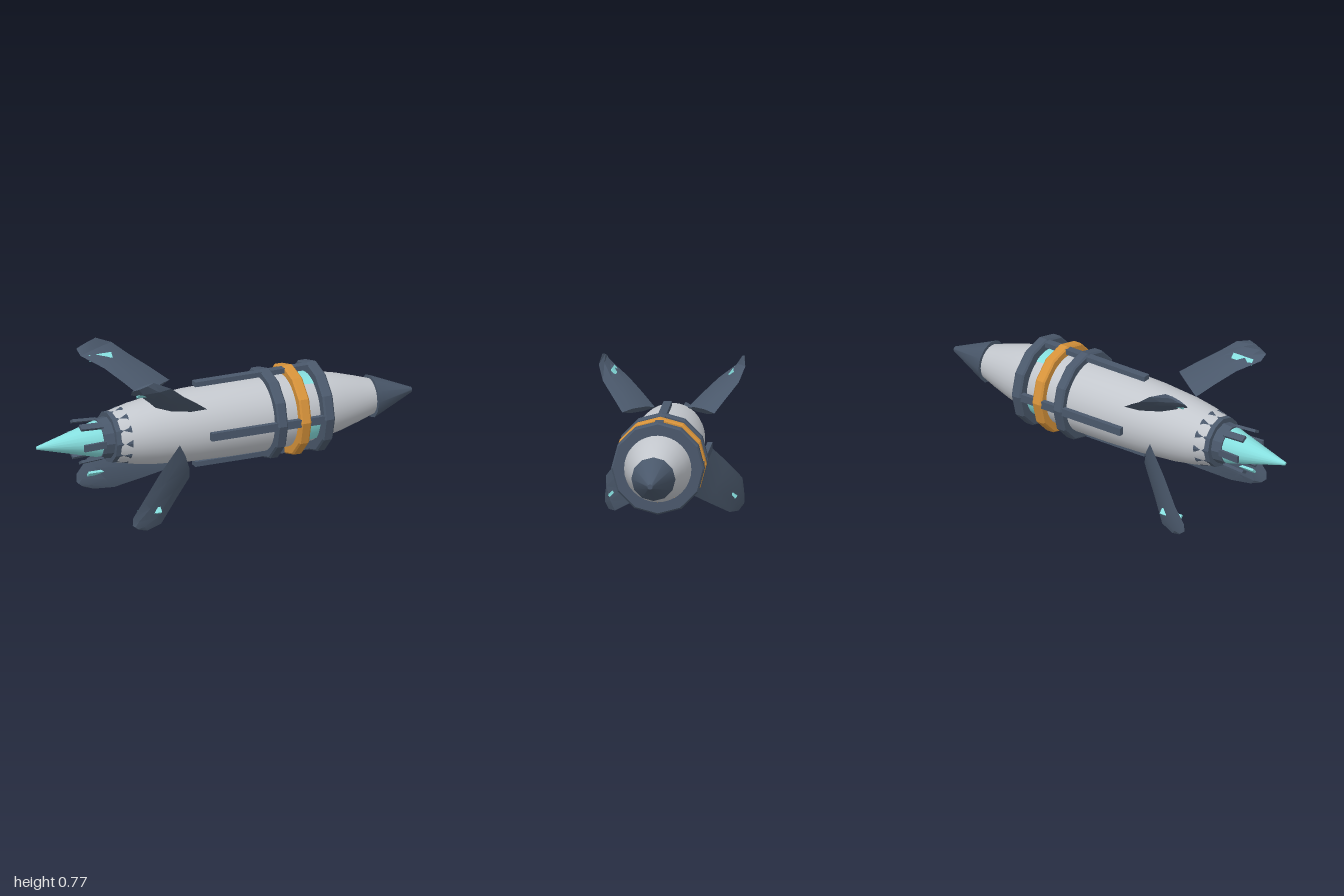
import * as THREE from 'three';
import { toCreasedNormals } from 'three/addons/utils/BufferGeometryUtils.js';

const AXIS = 0.39; // height of the hull's long axis
const mat = (name, color, side = THREE.FrontSide) => {
  const m = new THREE.MeshStandardMaterial({ color, side });
  m.name = name;
  return m;
};

export function createModel() {
  const model = new THREE.Group();
  const silver = mat('silver hull', 0xc3c7cd);
  const slate = mat('slate trim', 0x4a586b);
  const orange = mat('orange band', 0xd6923a);
  const cyan = mat('cyan glow', 0x86dfdf, THREE.DoubleSide);

  const add = (name, geo, material) => {
    const mesh = new THREE.Mesh(geo, material);
    mesh.name = name;
    model.add(mesh);
    return mesh;
  };
  // Lathe about the long axis from [x, radius] pairs, listed tail to nose
  const turned = (profile, sides, start = 0, sweep = Math.PI * 2) =>
    new THREE.LatheGeometry(profile.map(([x, r]) => new THREE.Vector2(r, x)), sides, start, sweep)
      .rotateZ(-Math.PI / 2)
      .translate(0, AXIS, 0);

  // Hull
  const hull = [[-0.6, 0], [-0.6, 0.127], [-0.5, 0.15], [-0.4, 0.165], [-0.2, 0.18], [0, 0.185],
    [0.2, 0.185], [0.35, 0.18], [0.5, 0.164], [0.6, 0.143], [0.7, 0.114], [0.8, 0.082]];
  add('hull', toCreasedNormals(turned(hull, 32), 0.6), silver);

  // Nose cone
  add('noseCone', toCreasedNormals(
    turned([[0.78, 0], [0.78, 0.108], [1, 0.013], [1, 0]], 12), 0.7), slate);

  // Twelve-sided bands with bevelled rims
  const band = (name, x0, x1, material) => {
    const R = 0.228, r = 0.165, b = 0.008;
    add(name, toCreasedNormals(turned([[x0, r], [x0, R - b], [x0 + b, R], [x1 - b, R],
      [x1, R - b], [x1, r]], 12), 0.3), material);
  };
  band('rearBand', 0.19, 0.245, slate);
  band('middleBand', 0.315, 0.37, orange);
  band('frontBand', 0.44, 0.495, slate);

  // Four rails running through the bands
  for (let i = 0; i < 4; i++) {
    const geo = new THREE.BoxGeometry(0.65, 0.025, 0.04)
      .translate(0.165, 0.207, 0).rotateX(i * Math.PI / 2).translate(0, AXIS, 0);
    add('rail', geo, slate);
  }

  // Glowing windows between the middle and front bands: [centre, half width] in degrees
  for (const [centre, half] of [[90, 32], [-28, 18], [208, 18]]) {
    const rad = Math.PI / 180;
    add('window', turned([[0.365, 0.182], [0.445, 0.174]], 10,
      -(centre + half) * rad, 2 * half * rad), cyan);
  }

  // Tail collar, nozzle and exhaust
  add('tailCollar', toCreasedNormals(turned([[-0.68, 0], [-0.68, 0.1], [-0.625, 0.104],
    [-0.625, 0.127], [-0.585, 0.13], [-0.545, 0.143]], 12), 0.3), slate);
  add('exhaust', turned([[-1, 0], [-1, 0.008], [-0.67, 0.094]], 20), cyan);

  // Six petals round the exhaust
  for (let i = 0; i < 6; i++) {
    const geo = new THREE.BoxGeometry(0.12, 0.034, 0.014).rotateY(0.06)
      .translate(-0.73, 0, 0.1).rotateX(i * Math.PI / 3).translate(0, AXIS, 0);
    add('nozzlePetal', geo, slate);
  }

  // Fin lofted through lens-shaped sections, each given by its leading and trailing point
  const outline = [[0, 0], [0.3, 1], [0.7, 1], [1, 0], [0.7, -1], [0.3, -1]];
  const finGeometry = (sections, side) => {
    const lines = sections.map((s) => s.map(([x, y, z]) => new THREE.Vector3(x, y, z * side)));
    const mids = lines.map(([a, b]) => a.clone().lerp(b, 0.5));
    const pos = [], index = [], n = outline.length, last = lines.length - 1;
    lines.forEach(([a, b], i) => {
      const span = mids[Math.min(i + 1, last)].clone().sub(mids[Math.max(i - 1, 0)]);
      const normal = b.clone().sub(a).cross(span).normalize();
      const half = 0.015 - 0.002 * i;
      for (const [t, h] of outline) {
        pos.push(...a.clone().lerp(b, t).addScaledVector(normal, h * half).toArray());
      }
      if (i === last) return;
      for (let k = 0; k < n; k++) {
        const p = i * n + k, q = i * n + (k + 1) % n;
        index.push(p, q, q + n, p, q + n, p + n);
      }
    });
    for (let k = 1; k < n - 1; k++) {
      index.push(0, k + 1, k, last * n, last * n + k, last * n + k + 1);
    }
    const geo = new THREE.BufferGeometry();
    geo.setAttribute('position', new THREE.Float32BufferAttribute(pos, 3));
    geo.setIndex(index);
    return toCreasedNormals(geo, 0.35);
  };
  const upper = [
    [[-0.19, 0.545, 0.225], [-0.4, 0.535, 0.08]],
    [[-0.275, 0.61, 0.28], [-0.47, 0.6, 0.15]],
    [[-0.36, 0.67, 0.332], [-0.54, 0.66, 0.22]],
    [[-0.44, 0.735, 0.358], [-0.63, 0.71, 0.3]],
    [[-0.53, 0.775, 0.346], [-0.64, 0.74, 0.33]],
  ];
  const lower = [
    [[-0.22, 0.15, 0.085], [-0.32, 0.365, 0.19]],
    [[-0.34, 0.08, 0.18], [-0.46, 0.262, 0.265]],
    [[-0.46, 0.01, 0.28], [-0.58, 0.16, 0.334]],
    [[-0.55, 0.002, 0.318], [-0.635, 0.085, 0.338]],
    [[-0.6, 0.015, 0.33], [-0.637, 0.045, 0.336]],
  ];
  for (const side of [1, -1]) {
    const hand = side > 0 ? 'left' : 'right';
    add(hand + 'UpperFin', finGeometry(upper, side), slate);
    add(hand + 'LowerFin', finGeometry(lower, side), slate);
    // Glowing bars set into the fins
    for (const [name, y, z, tilt] of [['UpperFinLight', 0.695, 0.287, -0.8], ['LowerFinLight', 0.09, 0.3, 0.8]]) {
      const bar = add(hand + name, new THREE.BoxGeometry(0.12, 0.012, 0.03), cyan);
      bar.position.set(-0.53, y, z * side);
      bar.rotation.x = tilt * side;
    }
  }
  return model;
}
